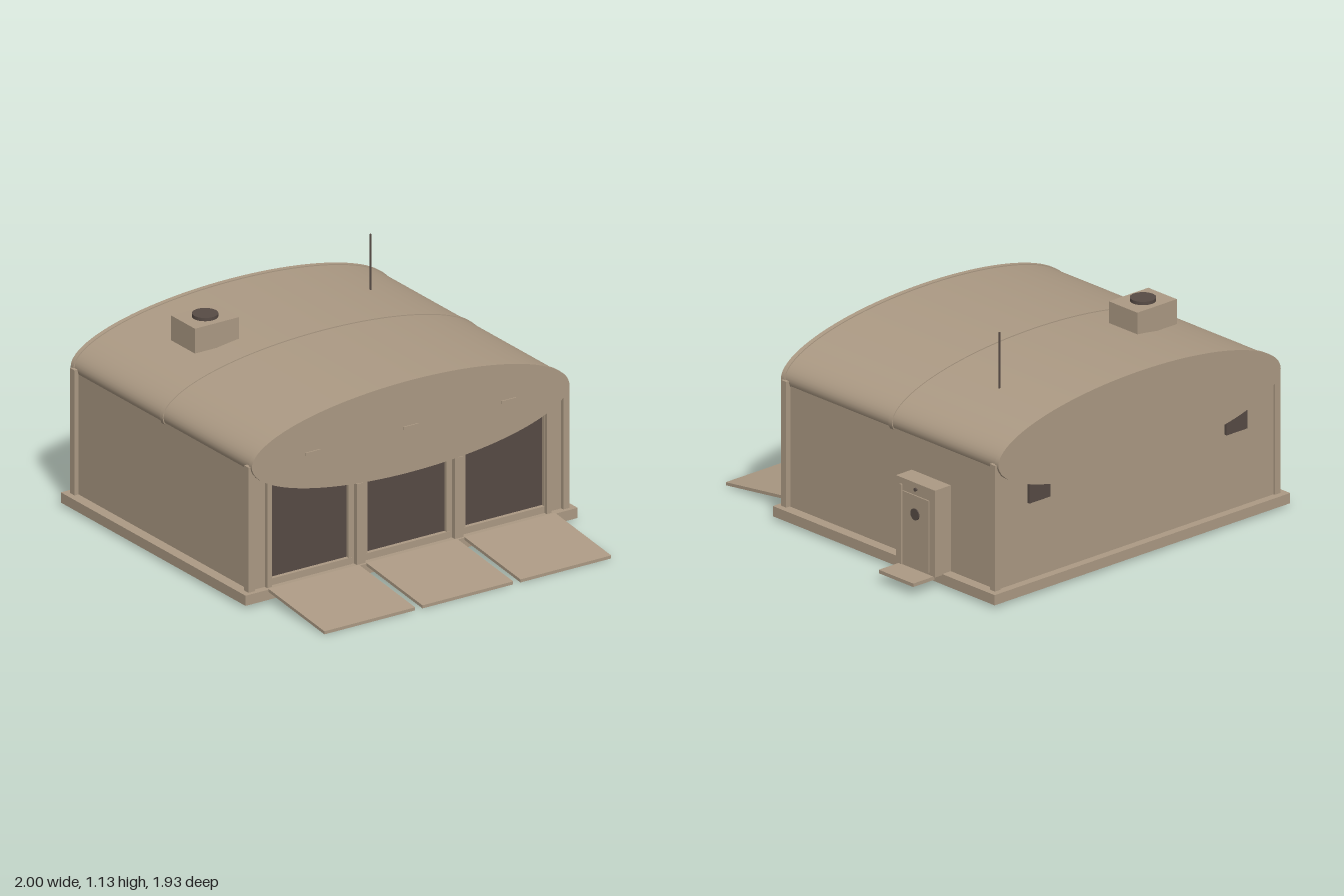
import * as THREE from 'three';

const CX = -0.085, CZ = -0.22; // centre of the building

export function createModel() {
  const root = new THREE.Group();
  root.name = 'hangar';
  const tan = new THREE.MeshStandardMaterial({ color: 0xac9a84 });
  tan.name = 'tan';
  const dark = new THREE.MeshStandardMaterial({ color: 0x574b45 });
  dark.name = 'dark brown';

  const add = (name, geometry, material = tan) => {
    const mesh = new THREE.Mesh(geometry, material);
    mesh.name = name;
    root.add(mesh);
    return mesh;
  };
  // box from minimum and maximum on each axis
  const box = (name, x0, x1, y0, y1, z0, z1, material) => {
    const mesh = add(name, new THREE.BoxGeometry(x1 - x0, y1 - y0, z1 - z0), material);
    mesh.position.set((x0 + x1) / 2, (y0 + y1) / 2, (z0 + z1) / 2);
    return mesh;
  };
  // elliptical cylinder lying along z
  const oval = (name, rx, ry, z0, z1) => {
    const g = new THREE.CylinderGeometry(1, 1, z1 - z0, 96);
    g.rotateX(Math.PI / 2);
    g.scale(rx, ry, 1);
    const mesh = add(name, g);
    mesh.position.set(CX, 0.68, (z0 + z1) / 2);
  };

  // foundation and main walls
  box('foundation', -1, 0.83, 0.015, 0.065, -0.965, 0.515);
  box('walls', CX - 0.862, CX + 0.862, 0.06, 0.68, -0.925, 0.455);

  // vaulted roof with raised ribs
  oval('roof', 0.868, 0.221, -0.943, 0.503);
  oval('frontRib', 0.874, 0.226, 0.483, 0.506);
  oval('middleRib', 0.873, 0.226, -0.234, -0.21);
  oval('backRib', 0.874, 0.226, -0.946, -0.923);

  // corner posts, mirrored
  for (const s of [-1, 1]) {
    const x = CX + s * 0.867;
    for (const z of [0.477, -0.917]) {
      box('cornerPost', x - 0.0175, x + 0.0175, 0.065, 0.68, z - 0.0175, z + 0.0175);
    }
    const o = CX + s * 0.77;
    box('doorJamb', o - 0.013, o + 0.013, 0.065, 0.62, 0.45, 0.497);
    const p = CX + s * 0.805;
    box('outerPier', p - 0.05, p + 0.05, 0.065, 0.64, 0.45, 0.478);
    // posts between the doors
    const c = CX + s * 0.27;
    box('innerPier', c - 0.052, c + 0.052, 0.065, 0.55, 0.45, 0.478);
    box('innerPost', c - 0.023, c + 0.023, 0.065, 0.462, 0.45, 0.503);
    // rear vents under the roof edge
    const v = CX + s * 0.61;
    box('rearVent', v - 0.065, v + 0.065, 0.44, 0.53, -0.94, -0.92, dark);
  }

  // bay doors, sills, ramps and small lamps
  for (const i of [-1, 0, 1]) {
    const x = CX + i * 0.54;
    box('bayDoor', x - 0.22, x + 0.22, 0.095, 0.6, 0.452, 0.46, dark);
    box('doorSill', x - 0.235, x + 0.235, 0.065, 0.098, 0.45, 0.48);
    box('doorLamp', x - 0.04, x + 0.04, 0.672, 0.686, 0.5, 0.512);

    const side = new THREE.Shape();
    side.moveTo(-0.515, 0.055);
    side.lineTo(-0.515, 0.07);
    side.lineTo(-0.965, 0.015);
    side.lineTo(-0.965, 0);
    side.closePath();
    const g = new THREE.ExtrudeGeometry(side, { depth: 0.5, bevelEnabled: false });
    g.rotateY(Math.PI / 2);
    const ramp = add('ramp', g);
    ramp.position.x = x - 0.25;
  }

  // side entrance
  box('entranceHousing', 0.76, 0.875, 0.06, 0.485, -0.615, -0.355);
  box('entranceDoor', 0.87, 0.881, 0.075, 0.425, -0.58, -0.405);
  box('entranceRail', 0.87, 0.885, 0.065, 0.455, -0.4, -0.388);
  box('entranceStep', 0.87, 1, 0.045, 0.062, -0.605, -0.375);
  for (const [name, y, r, x] of [['entranceWindow', 0.335, 0.028, 0.881], ['entranceLamp', 0.455, 0.008, 0.88]]) {
    const disc = add(name, new THREE.CylinderGeometry(r, r, 0.009, 32), dark);
    disc.rotation.z = -Math.PI / 2;
    disc.position.set(x, y, -0.49);
  }

  // roof vent
  box('roofVent', -0.662, -0.418, 0.868, 0.99, -0.572, -0.382);
  const cap = add('roofVentCap', new THREE.CylinderGeometry(0.06, 0.06, 0.02, 40), dark);
  cap.position.set(-0.54, 0.996, -0.478);

  // antenna
  const mast = add('antenna', new THREE.CylinderGeometry(0.004, 0.004, 0.28, 10), dark);
  mast.position.set(0.438, 0.99, -0.575);

  return root;
}
